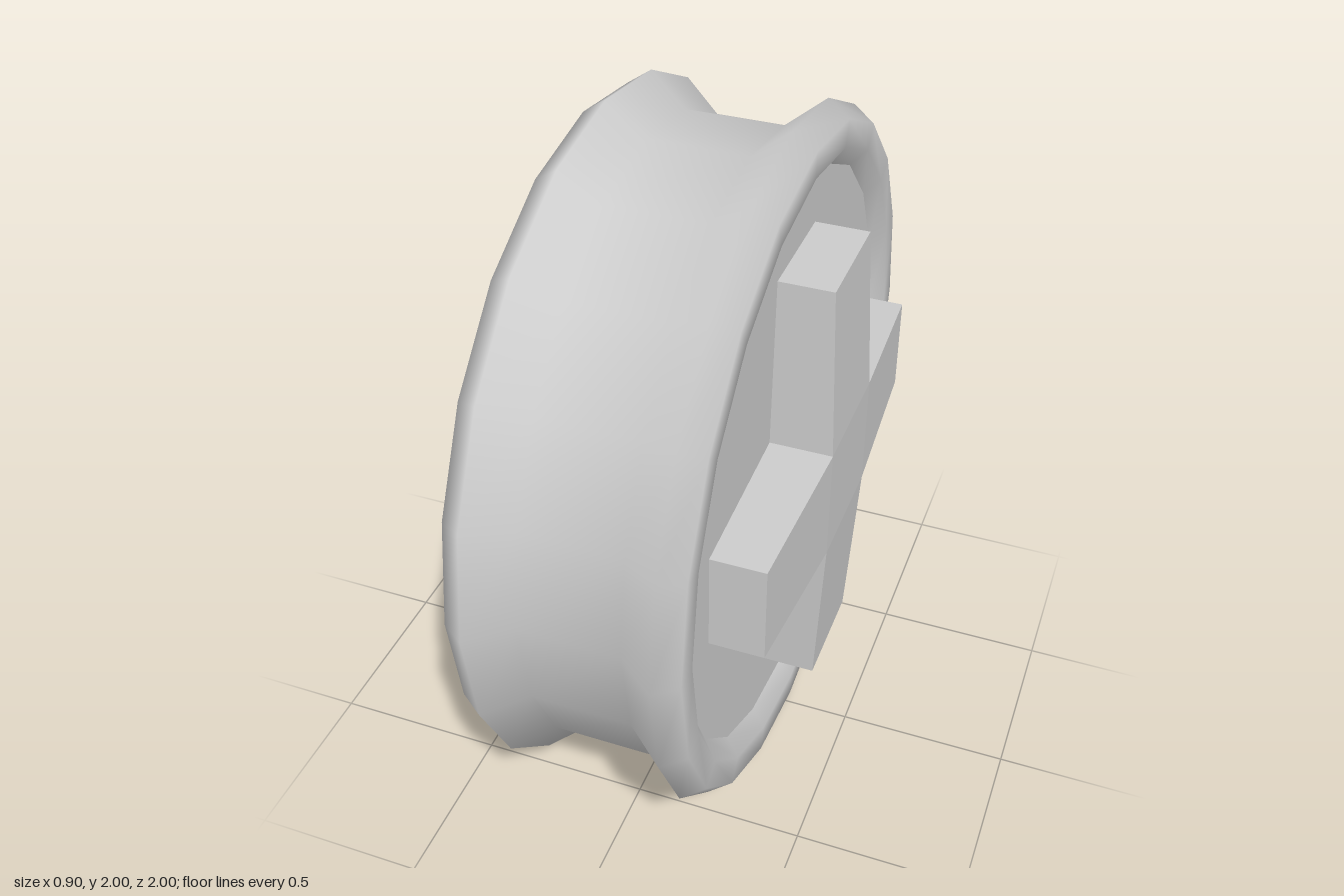
import * as THREE from 'three';

const material = new THREE.MeshStandardMaterial({ color: 0xcccccc });
const SIDES = 20;
const FACE_X = 0.273; // recessed side faces

// Tapered straight bar of the cross, running along y, raised towards +x.
// A 'stops' list gives [position, half width, height] along the bar.
function barGeometry(stops) {
  const geo = new THREE.BoxGeometry(2, stops.length - 1, 2, 1, stops.length - 1, 1);
  const pos = geo.attributes.position;
  for (let i = 0; i < pos.count; i++) {
    const [y, half, top] = stops[Math.round(pos.getY(i) + (stops.length - 1) / 2)];
    pos.setXYZ(i, pos.getX(i) > 0 ? top : FACE_X - 0.01, y, pos.getZ(i) * half);
  }
  const flat = geo.toNonIndexed();
  flat.computeVertexNormals();
  return flat;
}

function addMesh(parent, name, geometry) {
  const mesh = new THREE.Mesh(geometry, material);
  mesh.name = name;
  parent.add(mesh);
  return mesh;
}

// One side of the wheel: recessed face with a raised cross
function createSide(name) {
  const side = new THREE.Group();
  side.name = name;
  addMesh(side, 'sideFace', new THREE.CircleGeometry(0.83, SIDES).rotateY(Math.PI / 2).translate(FACE_X, 0, 0));

  addMesh(side, 'crossUpright', barGeometry([
    [-0.665, 0.16, 0.425], [-0.17, 0.18, 0.45], [0.17, 0.18, 0.45], [0.665, 0.16, 0.425],
  ]));
  for (const s of [1, -1]) {
    const arm = barGeometry([[0.18, 0.17, 0.45], [0.65, 0.145, 0.425]]);
    addMesh(side, 'crossArm', arm.rotateX(s * Math.PI / 2));
  }
  return side;
}

export function createModel() {
  const wheel = new THREE.Group();
  wheel.name = 'wheel';

  // Grooved body with rounded rims: half profile as [radius, x], mirrored
  const half = [[0.91, 0.14], [1.0, 0.25], [0.955, 0.315], [0.88, 0.315], [0.83, FACE_X]];
  const profile = [
    ...half.map(([r, x]) => new THREE.Vector2(r, -x)).reverse(),
    ...half.map(([r, x]) => new THREE.Vector2(r, x)),
  ];
  addMesh(wheel, 'groovedBody', new THREE.LatheGeometry(profile, SIDES).rotateZ(-Math.PI / 2));

  // The two identical sides
  const left = createSide('leftSide');
  const right = createSide('rightSide');
  right.rotation.y = Math.PI;
  wheel.add(left, right);

  wheel.position.y = 1;
  const model = new THREE.Group();
  model.name = 'model';
  model.add(wheel);
  return model;
}
